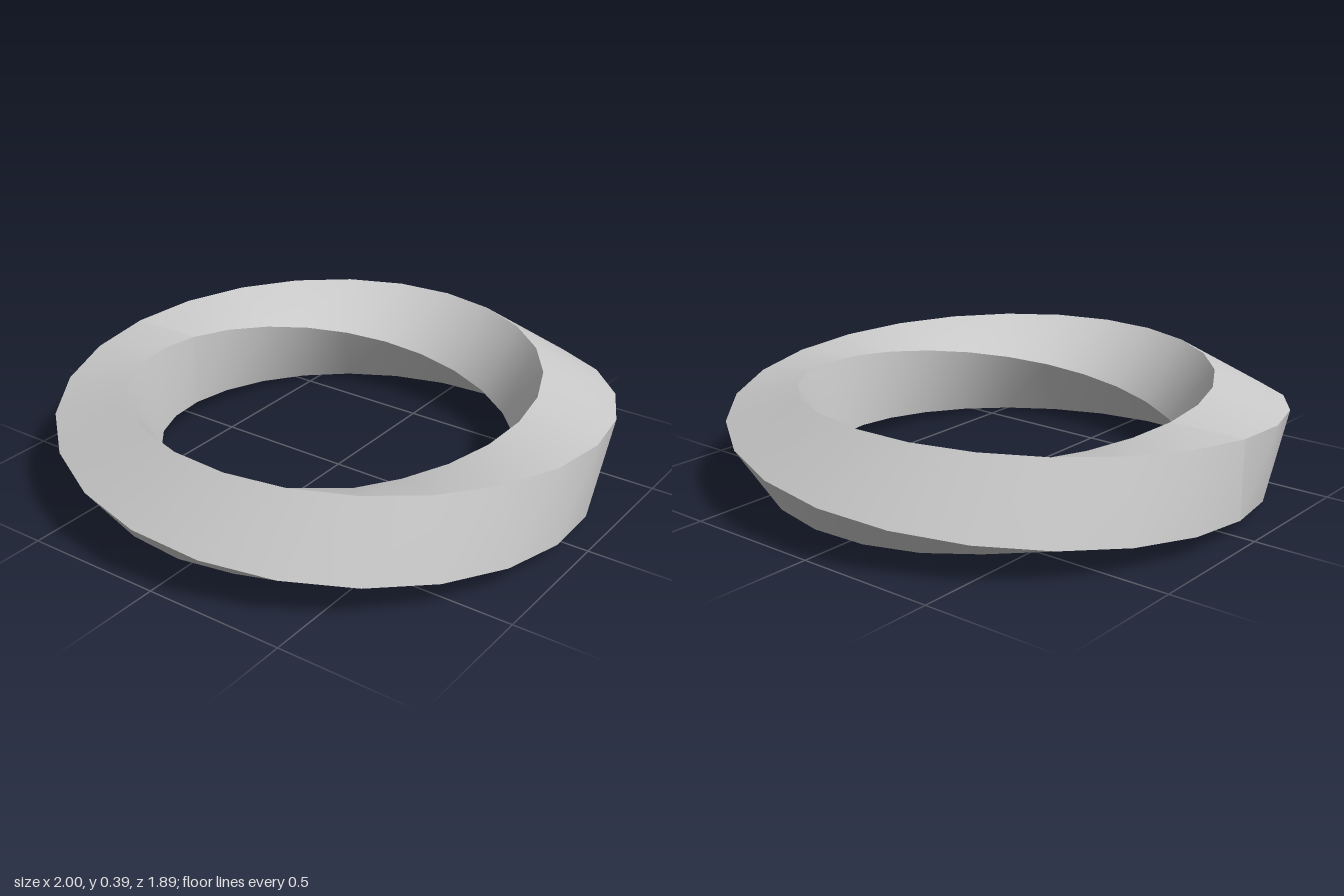
import * as THREE from 'three';

const SEGMENTS = 25;          // steps around the ring
const SIDES = 4;              // square cross-section
const RING = 0.808;           // radius to the section centre
const CORNER = 0.194;         // section centre to its corner

// Corner k of the section at step i; the section makes half a turn per lap, starting at the back.
function corner(i, k) {
  const t = i / SEGMENTS;
  const around = -Math.PI / 2 + t * Math.PI * 2;
  const twist = -Math.PI / 4 + t * Math.PI + k * Math.PI * 2 / SIDES;
  const r = RING + CORNER * Math.cos(twist);
  return [r * Math.cos(around), CORNER + CORNER * Math.sin(twist), r * Math.sin(around)];
}

// One ribbon between neighbouring corners: smooth along its length, sharp at its edges.
function ribbon(k) {
  const positions = [], index = [];
  for (let i = 0; i <= SEGMENTS; i++) {
    positions.push(...corner(i, k), ...corner(i, k + 1));
    if (i < SEGMENTS) {
      const a = i * 2;
      index.push(a, a + 1, a + 2, a + 1, a + 3, a + 2);
    }
  }
  const geometry = new THREE.BufferGeometry();
  geometry.setAttribute('position', new THREE.Float32BufferAttribute(positions, 3));
  geometry.setIndex(index);
  geometry.computeVertexNormals();
  return geometry;
}

export function createModel() {
  const group = new THREE.Group();
  group.name = 'twistedRing';
  const material = new THREE.MeshStandardMaterial({ color: 0xcccccc });
  for (let k = 0; k < SIDES; k++) {
    const side = new THREE.Mesh(ribbon(k), material);
    side.name = `ringSide${k + 1}`;
    group.add(side);
  }
  return group;
}
